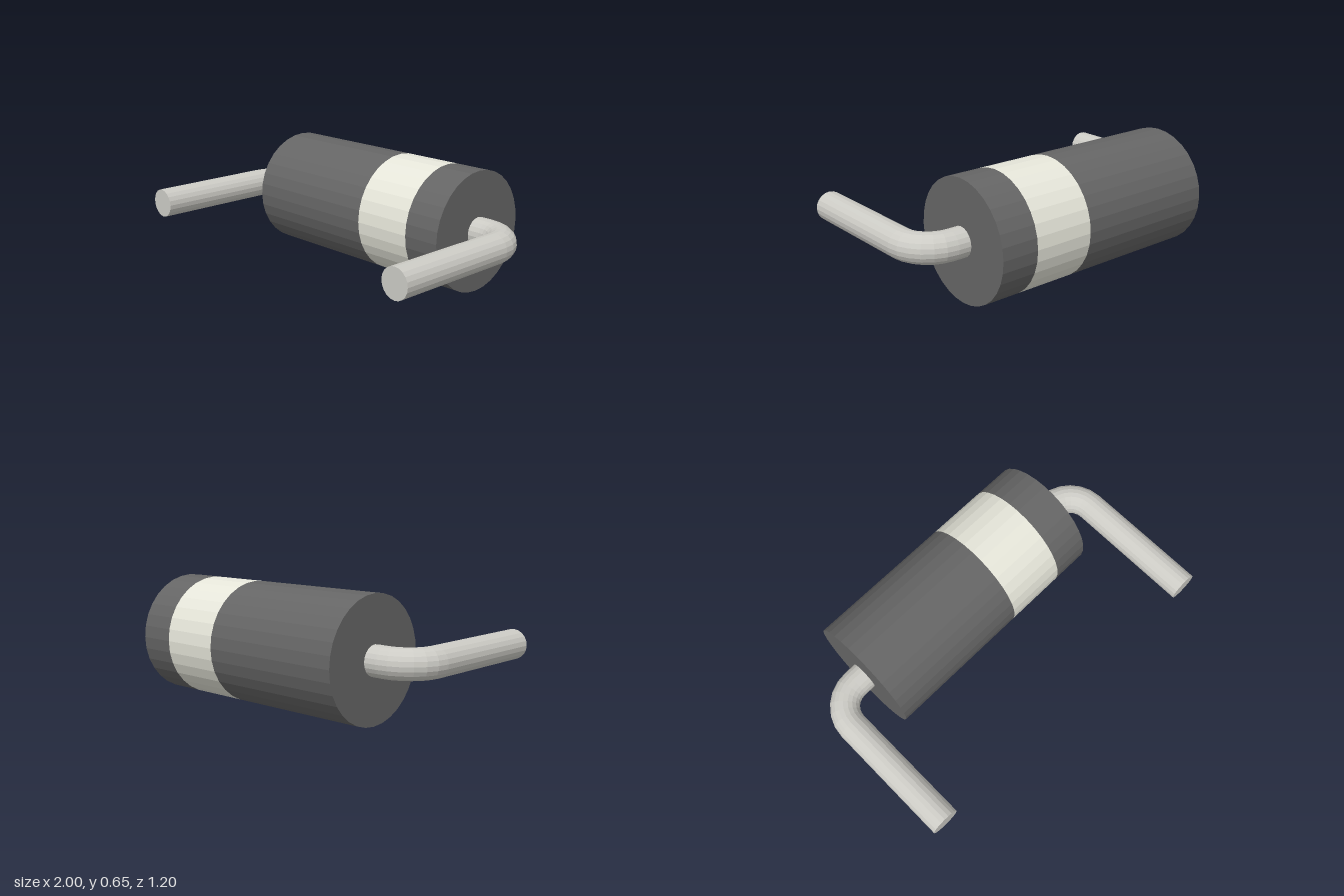
import * as THREE from 'three';

const AXIS_Y = 0.327, AXIS_Z = -0.271;
const BODY_R = 0.326, LEAD_R = 0.08, BEND_R = 0.165, LEAD_X = 0.92;
const BODY_SIDES = 32, LEAD_SIDES = 20;

const material = (color) => new THREE.MeshStandardMaterial({ color, flatShading: true });

export function createModel() {
  const model = new THREE.Group();
  const dark = material(0x656565);
  const cream = material(0xe6e6da);
  const metal = material(0xcccbc5);

  // Everything hangs on the component's axis, which runs along x
  const component = new THREE.Group();
  component.name = 'component';
  component.position.set(0, AXIS_Y, AXIS_Z);
  model.add(component);

  const add = (parent, name, geometry, mat) => {
    const mesh = new THREE.Mesh(geometry, mat);
    mesh.name = name;
    parent.add(mesh);
  };

  // Cylinder along x between two positions
  const alongX = (radius, x0, x1, sides, open) =>
    new THREE.CylinderGeometry(radius, radius, x1 - x0, sides, 1, open)
      .rotateZ(-Math.PI / 2).translate((x0 + x1) / 2, 0, 0);

  // Body in two dark sections with a pale polarity band between them
  add(component, 'bodyMain', alongX(BODY_R, -0.687, 0.135, BODY_SIDES, false), dark);
  add(component, 'polarityBand', alongX(BODY_R, 0.135, 0.478, BODY_SIDES, true), cream);
  add(component, 'bodyEnd', alongX(BODY_R, 0.478, 0.687, BODY_SIDES, false), dark);

  // Bent wire leads: stub, quarter bend, straight leg; the right one is turned about z
  const bendX = LEAD_X - BEND_R;
  const legLength = 0.6 - AXIS_Z - BEND_R;
  for (const side of ['left', 'right']) {
    const lead = new THREE.Group();
    lead.name = side + 'Lead';
    if (side === 'right') lead.rotation.z = Math.PI;
    component.add(lead);

    add(lead, side + 'LeadStub', alongX(LEAD_R, 0.67, bendX, LEAD_SIDES, true), metal);
    add(lead, side + 'LeadBend',
      new THREE.TorusGeometry(BEND_R, LEAD_R, LEAD_SIDES, 6, Math.PI / 2)
        .rotateX(-Math.PI / 2).translate(bendX, 0, BEND_R), metal);
    add(lead, side + 'LeadLeg',
      new THREE.CylinderGeometry(LEAD_R, LEAD_R, legLength, LEAD_SIDES)
        .rotateX(Math.PI / 2).translate(LEAD_X, 0, BEND_R + legLength / 2), metal);
  }
  return model;
}
